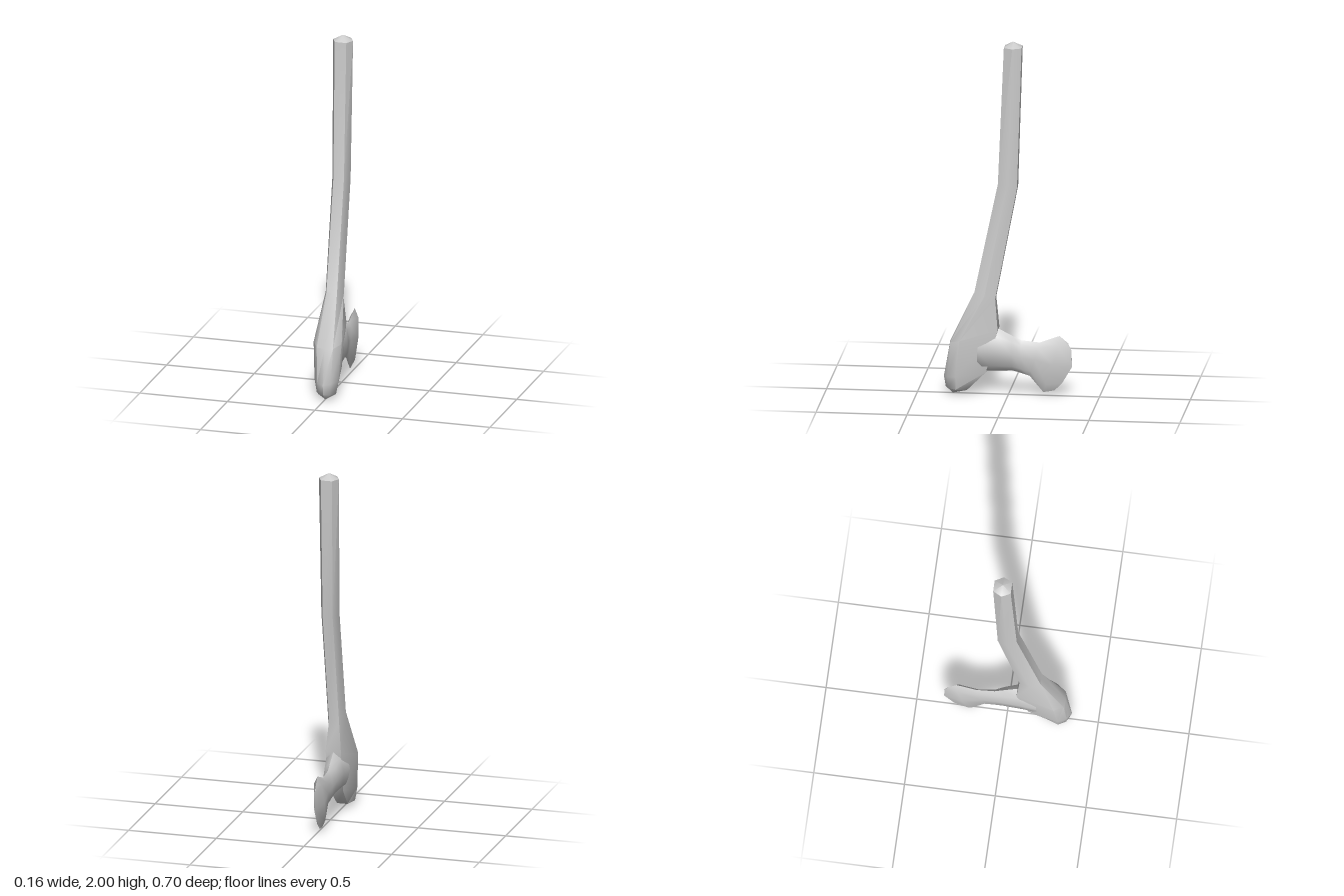
import * as THREE from 'three';
import { toCreasedNormals } from 'three/addons/utils/BufferGeometryUtils.js';

// Skin a list of equally sized rings of points, skipping collapsed triangles
function loft(rings, crease) {
  const pos = [];
  const tri = (a, b, c) => {
    if (a.distanceTo(b) < 1e-5 || b.distanceTo(c) < 1e-5 || c.distanceTo(a) < 1e-5) return;
    for (const p of [a, b, c]) pos.push(p.x, p.y, p.z);
  };
  for (let i = 0; i < rings.length - 1; i++) {
    const r = rings[i], s = rings[i + 1], n = r.length;
    for (let j = 0; j < n; j++) {
      const k = (j + 1) % n;
      tri(r[j], r[k], s[k]);
      tri(r[j], s[k], s[j]);
    }
  }
  const geo = new THREE.BufferGeometry();
  geo.setAttribute('position', new THREE.Float32BufferAttribute(pos, 3));
  return toCreasedNormals(geo, crease);
}

// Handle section: hexagon with an extra front point, between front and back [z, y]
function handleRing([fz, fy, bz, by, w, side = 0.5, bulge = 0]) {
  const at = (x, t) => new THREE.Vector3(x * w, fy + (by - fy) * t, fz + (bz - fz) * t);
  return [at(0, 0), at(0.58, bulge), at(1, side), at(0.55, 1),
    at(-0.55, 1), at(-1, side), at(-0.58, bulge)];
}

// Blade section: rounded strip between top and bottom [z, y], middle pushed back
function bladeRing([tz, ty, bz, by, w, x0, push = 0]) {
  const profile = [[0, 0], [0.75, 0.15], [1, 0.5], [0.75, 0.85], [0, 1],
    [-0.75, 0.85], [-1, 0.5], [-0.75, 0.15]];
  return profile.map(([x, t]) => new THREE.Vector3(
    x0 + x * w,
    ty + (by - ty) * t,
    tz + (bz - tz) * t - push * 4 * t * (1 - t)));
}

export function createModel() {
  const group = new THREE.Group();
  const material = new THREE.MeshStandardMaterial({ color: 0xcccccc });
  const add = (name, geo) => {
    const mesh = new THREE.Mesh(geo, material);
    mesh.name = name;
    group.add(mesh);
  };

  // Bent shaft swelling into the heavy butt, from the bottom up
  add('handle', loft([
    [0.305, 0.005, 0.305, 0.005, 0],
    [0.345, 0.04, 0.225, 0.03, 0.055, 0.5, 0.15],
    [0.355, 0.1, 0.12, 0.135, 0.068, 0.3, 0.1],
    [0.32, 0.3, 0.055, 0.375, 0.08, 0.22, 0.02],
    [0.185, 0.58, 0.07, 0.55, 0.052],
    [0.055, 1.2, -0.05, 1.18, 0.052],
    [0.022, 1.97, -0.075, 1.97, 0.057],
    [-0.025, 2, -0.025, 2, 0],
  ].map(handleRing), 0.9));

  // Neck and flared blade, from inside the butt toward the back
  add('blade', loft([
    [0.16, 0.38, 0.17, 0.13, 0.062, 0],
    [0.055, 0.375, 0.1, 0.137, 0.055, 0],
    [-0.02, 0.335, -0.02, 0.14, 0.04, -0.004],
    [-0.07, 0.31, -0.07, 0.125, 0.027, -0.008],
    [-0.17, 0.3, -0.115, 0.11, 0.02, -0.01],
    [-0.28, 0.34, -0.19, 0.02, 0.031, -0.011, 0.01],
    [-0.325, 0.3, -0.25, 0.03, 0.002, -0.015, 0.06],
    [-0.325, 0.3, -0.25, 0.03, 0, -0.015, 0.06],
  ].map(bladeRing), 0.9));

  return group;
}
